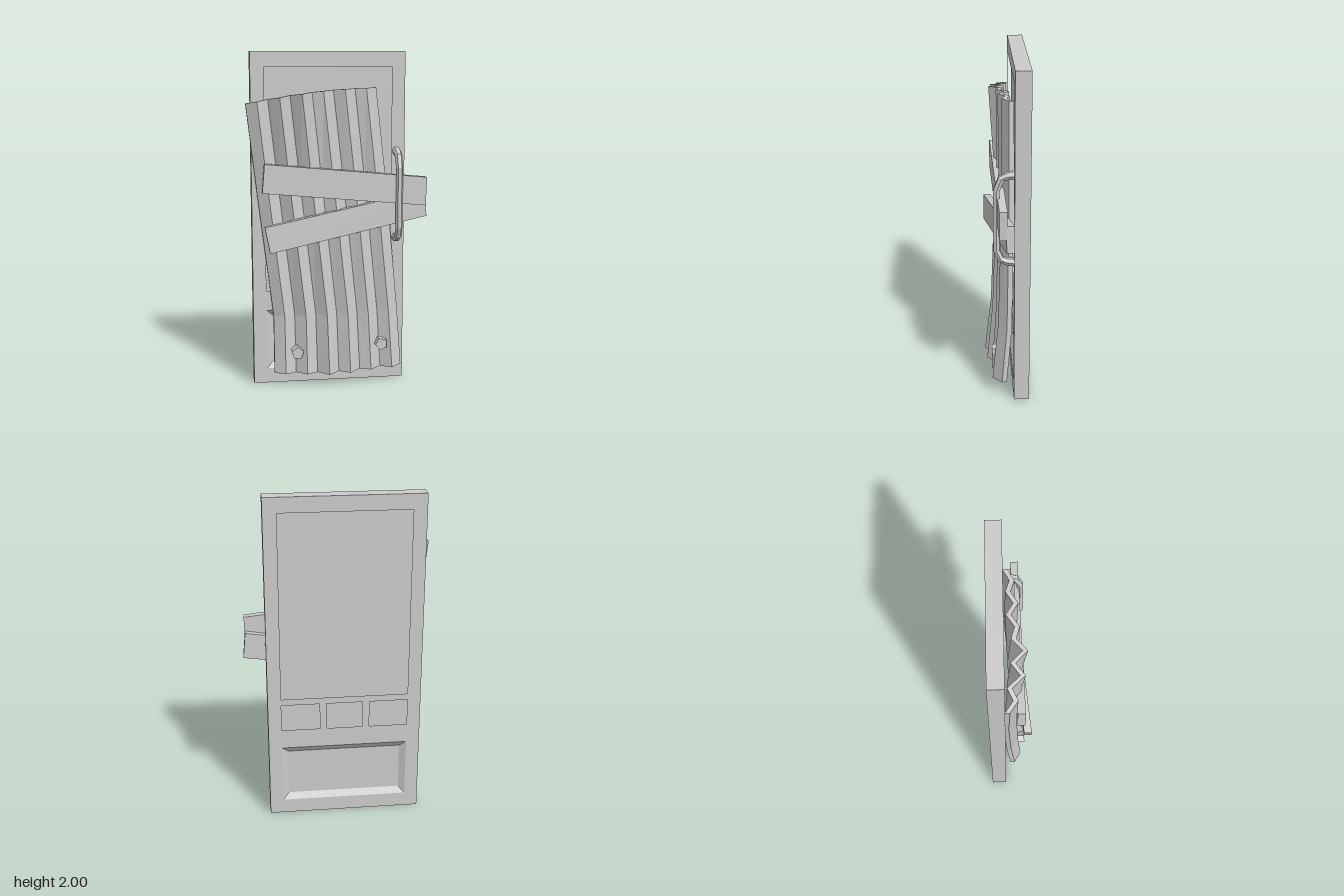
import * as THREE from 'three';

const mat = new THREE.MeshStandardMaterial({ color: 0xcccccc, flatShading: true });

function addMesh(parent, name, geometry) {
  const mesh = new THREE.Mesh(geometry, mat);
  mesh.name = name;
  parent.add(mesh);
  return mesh;
}

// Skin a row of closed loops (counter-clockwise about the travel direction)
function loft(sections, capped = true) {
  const pos = [];
  const quad = (a, b, c, d) => [a, b, c, a, c, d].forEach((p) => pos.push(...p));
  const n = sections[0].length;
  for (let j = 0; j < sections.length - 1; j++) {
    const s = sections[j], t = sections[j + 1];
    for (let i = 0; i < n; i++) {
      const k = (i + 1) % n;
      quad(s[i], s[k], t[k], t[i]);
    }
  }
  if (capped) {
    const lo = sections[0], hi = sections[sections.length - 1];
    for (let i = 0; i < n / 2 - 1; i++) {
      quad(hi[i], hi[i + 1], hi[n - 2 - i], hi[n - 1 - i]);
      quad(lo[n - 1 - i], lo[n - 2 - i], lo[i + 1], lo[i]);
    }
  }
  const g = new THREE.BufferGeometry();
  g.setAttribute('position', new THREE.Float32BufferAttribute(pos, 3));
  g.computeVertexNormals();
  return g;
}

// Clockwise rectangle, used both for panel openings and the bevel
const rect = (x0, y0, x1, y1) => [[x0, y0], [x0, y1], [x1, y1], [x1, y0]];

// One face of the door: a frame with sunken panels and a bevelled lower panel
function doorFace(depth) {
  const face = new THREE.Group();
  const lower = [-0.38, 0.09, 0.38, 0.455];
  const openings = [
    [-0.38, 0.78, 0.38, 1.91],
    [-0.38, 0.575, -0.15, 0.74],
    [-0.108, 0.575, 0.108, 0.74],
    [0.15, 0.575, 0.38, 0.74],
    lower,
  ];
  const toPoints = (r) => r.map(([x, y]) => new THREE.Vector2(x, y));
  const shape = new THREE.Shape(toPoints(rect(-0.46, 0, 0.46, 2)));
  openings.forEach((o) => shape.holes.push(new THREE.Path(toPoints(rect(...o)))));
  addMesh(face, 'doorFrame', new THREE.ExtrudeGeometry(shape, { depth, bevelEnabled: false }));

  const [x0, y0, x1, y1] = lower;
  const inset = 0.037;
  const inner = rect(x0 + inset, y0 + inset, x1 - inset, y1 - inset).map(([x, y]) => [x, y, 0]);
  const outer = rect(x0, y0, x1, y1).map(([x, y]) => [x, y, depth]);
  addMesh(face, 'panelBevel', loft([inner, outer], false));
  return face;
}

function door() {
  const group = new THREE.Group();
  group.name = 'door';
  const depth = 0.025, core = 0.04;
  addMesh(group, 'doorCore', new THREE.BoxGeometry(0.92, 2, core)).position.y = 1;
  const front = doorFace(depth);
  front.name = 'frontFace';
  front.position.z = core / 2;
  const back = doorFace(depth);
  back.name = 'backFace';
  back.rotation.y = Math.PI;
  back.position.z = -core / 2;
  group.add(front, back);
  group.position.set(-0.05, 0, -0.085);
  return group;
}

// Bent corrugated sheet: each row gives its ends and the depth of every fold
function corrugatedSheet() {
  const rows = [
    { x: [-0.39, 0.385], y: [0.08, 0.105], sag: -0.008,
      z: [0.02, 0.06, 0.03, 0.085, 0.05, 0.12, 0.06, 0.11, 0.05, 0.085, 0.035, 0.085, 0.03] },
    { x: [-0.39, 0.365], y: [0.43, 0.45], sag: 0,
      z: [-0.005, 0.04, 0, 0.06, 0.02, 0.08, 0.03, 0.075, 0.02, 0.06, 0.01, 0.05, 0] },
    { x: [-0.48, 0.295], y: [1.18, 1.22], sag: 0,
      z: [-0.02, 0.025, -0.01, 0.045, 0, 0.05, 0.005, 0.045, 0, 0.035, -0.01, 0.025, -0.015] },
    { x: [-0.54, 0.23], y: [1.7, 1.79], sag: 0.02,
      z: [-0.015, 0.03, 0, 0.07, 0.02, 0.085, 0.025, 0.045, 0, 0.04, 0, 0.022, -0.015] },
  ];
  const thickness = 0.028;
  return loft(rows.map(({ x, y, sag, z }) => {
    const front = z.map((depth, i) => {
      const t = i / (z.length - 1);
      return [
        THREE.MathUtils.lerp(x[0], x[1], t),
        THREE.MathUtils.lerp(y[0], y[1], t) + sag * Math.sin(Math.PI * t),
        depth,
      ];
    });
    const back = front.map(([px, py, pz]) => [px, py, pz - thickness]).reverse();
    return [...front, ...back];
  }));
}

// Plank from its lower and upper edges (left, right) and front depth at each end
function plank(lower, upper, zLeft, zRight, thickness = 0.045) {
  return loft([lower, upper].map(([l, r]) => [
    [...l, zLeft], [...r, zRight], [...r, zRight - thickness], [...l, zLeft - thickness],
  ]));
}

// Six-sided pull handle swept along a bracket path of [y, z, radius]
function handleGeometry(x) {
  const path = [
    [0.885, -0.05, 0.028], [0.89, 0.0, 0.024], [0.905, 0.035, 0.022], [0.96, 0.06, 0.021],
    [1.32, 0.06, 0.021], [1.39, 0.033, 0.022], [1.405, 0.0, 0.024], [1.412, -0.05, 0.028],
  ];
  const points = path.map(([y, z]) => new THREE.Vector3(x, y, z));
  const u = new THREE.Vector3(1, 0, 0);
  return loft(points.map((p, i) => {
    const before = points[Math.max(i - 1, 0)];
    const after = points[Math.min(i + 1, points.length - 1)];
    const v = after.clone().sub(before).normalize().cross(u);
    return Array.from({ length: 6 }, (_, k) => {
      const a = (k / 6) * Math.PI * 2, r = path[i][2];
      return p.clone().addScaledVector(u, Math.cos(a) * r)
        .addScaledVector(v, Math.sin(a) * r).toArray();
    });
  }));
}

export function createModel() {
  const model = new THREE.Group();
  model.name = 'barricadedDoor';
  model.add(door());

  addMesh(model, 'corrugatedSheet', corrugatedSheet());

  // Crossed planks, meeting behind the handle
  addMesh(model, 'upperPlank', plank(
    [[-0.455, 1.185], [0.525, 1.09]], [[-0.44, 1.355], [0.53, 1.26]], 0.075, 0.05));
  addMesh(model, 'lowerPlank', plank(
    [[-0.415, 0.835], [0.54, 1.02]], [[-0.445, 0.99], [0.525, 1.175]], 0.115, 0.01));

  addMesh(model, 'handle', handleGeometry(0.36));

  // Five-sided bolts holding the sheet
  [[-0.255, 0.215, 0], [0.255, 0.25, 0.4]].forEach(([x, y, turn]) => {
    const geometry = new THREE.CylinderGeometry(0.038, 0.038, 0.1, 5).rotateX(Math.PI / 2);
    const bolt = addMesh(model, 'bolt', geometry);
    bolt.position.set(x, y, 0.035);
    bolt.rotation.z = Math.PI + turn;
  });

  return model;
}
